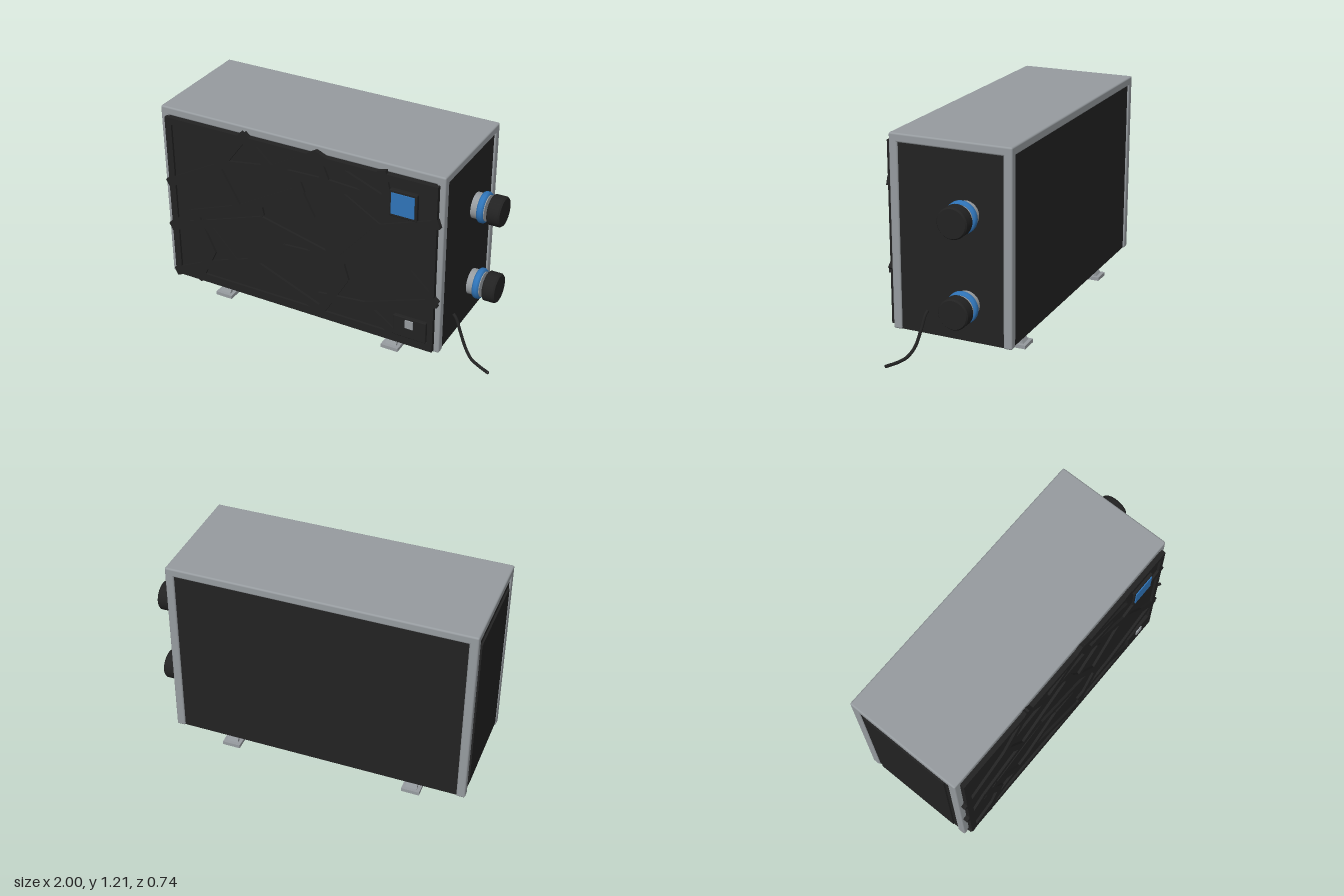
import * as THREE from 'three';
import { RoundedBoxGeometry } from 'three/addons/geometries/RoundedBoxGeometry.js';

const mat = (name, color) => Object.assign(new THREE.MeshStandardMaterial({ color }), { name });

export function createModel() {
  const group = new THREE.Group();
  const grey = mat('grey metal', 0x969b9f);
  const dark = mat('dark panel', 0x222222);
  const blue = mat('blue accent', 0x2f74b8);

  const add = (name, geo, material, parent = group) => {
    const m = new THREE.Mesh(geo, material);
    m.name = name;
    parent.add(m);
    return m;
  };
  // Box given by its min and max corners, with optional rounded edges
  const box = (name, material, x0, x1, y0, y1, z0, z1, r = 0, parent = group) => {
    const s = [x1 - x0, y1 - y0, z1 - z0];
    const geo = r ? new RoundedBoxGeometry(...s, 2, r) : new THREE.BoxGeometry(...s);
    const m = add(name, geo, material, parent);
    m.position.set((x0 + x1) / 2, (y0 + y1) / 2, (z0 + z1) / 2);
    return m;
  };

  // Cabinet: dark core, grey corner posts and lid
  const X0 = -1, X1 = 0.74, Z0 = -0.372, Z1 = 0.33;
  box('cabinetCore', dark, X0 + 0.01, X1 - 0.01, 0.117, 1.18, Z0 + 0.01, Z1 - 0.01);
  for (const x of [X0, X1 - 0.05])
    for (const z of [Z0, Z1 - 0.05])
      box('cornerPost', grey, x, x + 0.05, 0.115, 1.19, z, z + 0.05, 0.01);
  box('lid', grey, X0, X1, 1.16, 1.21, Z0, Z1, 0.01);
  box('leftServicePanel', dark, X0 - 0.001, X0 + 0.02, 0.16, 1.11, -0.29, 0.25);

  // Front grille: backing, border and a web of irregular bars
  const grille = new THREE.Group();
  grille.name = 'grille';
  group.add(grille);
  box('grilleBacking', dark, -0.955, 0.705, 0.13, 1.155, 0.315, 0.342, 0, grille);
  const GZ0 = 0.33, GZ1 = 0.356;
  box('grilleTop', dark, -0.96, 0.71, 1.12, 1.16, GZ0, GZ1, 0, grille);
  box('grilleBottom', dark, -0.96, 0.71, 0.128, 0.18, GZ0, GZ1, 0, grille);
  box('grilleLeft', dark, -0.96, -0.92, 0.128, 1.16, GZ0, GZ1, 0, grille);
  box('grilleRight', dark, 0.68, 0.71, 0.128, 1.16, GZ0, GZ1, 0, grille);
  const webPaths = [
    [-0.45, 1.16, -0.63, 0.92, -0.96, 0.74],
    [-0.45, 1.16, -0.28, 1.0, 0, 1.16],
    [-0.6, 0.95, -0.28, 1.0, 0.06, 1.01, 0.43, 0.99],
    [0, 1.16, 0.06, 1.01, 0.38, 0.82, 0.71, 0.94],
    [0, 1.16, 0.43, 0.99, 0.39, 1.16],
    [-0.63, 0.92, -0.5, 0.69, -0.1, 0.92, -0.13, 1.0],
    [-0.96, 0.45, -0.82, 0.57, -0.5, 0.69, -0.35, 0.72],
    [-0.1, 0.9, -0.02, 0.74, 0.12, 0.55],
    [-0.02, 0.74, 0.15, 0.88],
    [0.38, 0.82, 0.14, 0.54, -0.35, 0.66],
    [0.71, 0.45, 0.55, 0.6, 0.38, 0.82],
    [-0.96, 0.45, -0.66, 0.55, -0.35, 0.66],
    [-0.8, 0.57, -0.7, 0.35, -0.8, 0.14],
    [-0.74, 0.54, -0.52, 0.3, -0.2, 0.52, 0.14, 0.54],
    [-0.95, 0.14, -0.7, 0.26, -0.42, 0.36, 0.02, 0.18],
    [0.14, 0.54, 0.17, 0.44, 0.02, 0.18],
    [0.02, 0.27, 0.3, 0.3, 0.71, 0.45],
    [0.3, 0.3, 0.5, 0.16],
  ];
  for (const p of webPaths)
    for (let i = 0; i + 3 < p.length; i += 2) {
      const [ax, ay, bx, by] = p.slice(i, i + 4);
      const len = Math.hypot(bx - ax, by - ay);
      const bar = add('grilleBar', new THREE.BoxGeometry(len + 0.025, 0.052, GZ1 - GZ0), dark, grille);
      bar.position.set((ax + bx) / 2, (ay + by) / 2, (GZ0 + GZ1) / 2);
      bar.rotation.z = Math.atan2(by - ay, bx - ax);
    }

  // Display and lower badge plate
  box('displayBezel', dark, 0.44, 0.6, 0.927, 1.085, 0.33, 0.364, 0.005);
  box('displayScreen', blue, 0.453, 0.587, 0.945, 1.07, 0.362, 0.37);
  box('lowerPlate', dark, 0.475, 0.672, 0.178, 0.308, 0.33, 0.362, 0.005);
  box('plateSquare', grey, 0.55, 0.598, 0.247, 0.297, 0.36, 0.369);

  // Two side ports, each with collar, blue ring and a separate cap
  for (const y of [0.33, 0.825]) {
    const port = new THREE.Group();
    port.name = 'port';
    port.position.set(0, y, -0.11);
    group.add(port);
    const disc = (name, material, pts) => {
      const geo = new THREE.LatheGeometry(pts.map(([r, x]) => new THREE.Vector2(r, x)), 40);
      add(name, geo, material, port).rotation.z = -Math.PI / 2;
    };
    disc('collar', grey, [[0.074, 0.72], [0.074, 0.809], [0.074, 0.809], [0, 0.809]]);
    disc('sealRing', blue, [[0.072, 0.766], [0.083, 0.768], [0.089, 0.777], [0.089, 0.794], [0.083, 0.803], [0.072, 0.805]]);
    disc('cap', dark, [[0, 0.826], [0.08, 0.826], [0.08, 0.826], [0.086, 0.832], [0.086, 0.832],
      [0.086, 0.892], [0.086, 0.892], [0.079, 0.901], [0.079, 0.901], [0, 0.901]]);
  }

  // Power cable
  const cable = new THREE.CatmullRomCurve3([
    [0.73, 0.25, 0.125], [0.75, 0.23, 0.13], [0.785, 0.15, 0.14], [0.825, 0.07, 0.155],
    [0.87, 0.027, 0.178], [0.92, 0.016, 0.2], [0.998, 0.015, 0.237],
  ].map((p) => new THREE.Vector3(...p)));
  add('cable', new THREE.TubeGeometry(cable, 40, 0.009, 10), dark);
  const end = add('cableEnd', new THREE.CircleGeometry(0.009, 10), dark);
  end.position.copy(cable.getPoint(1));
  end.lookAt(end.position.clone().add(cable.getTangent(1)));

  // Feet: long rail with two slanted struts
  for (const x of [-0.676, 0.42]) {
    const foot = new THREE.Group();
    foot.name = 'foot';
    group.add(foot);
    box('footRail', grey, x - 0.053, x + 0.053, 0.003, 0.024, -0.328, 0.29, 0, foot);
    for (const [zb, zt] of [[0.262, 0.21], [-0.3, -0.248]]) {
      const dy = 0.105, dz = zt - zb;
      const strut = add('footStrut', new THREE.BoxGeometry(0.066, Math.hypot(dy, dz), 0.02), grey, foot);
      strut.position.set(x, 0.018 + dy / 2, (zb + zt) / 2);
      strut.rotation.x = Math.atan2(dz, dy);
    }
  }
  return group;
}
